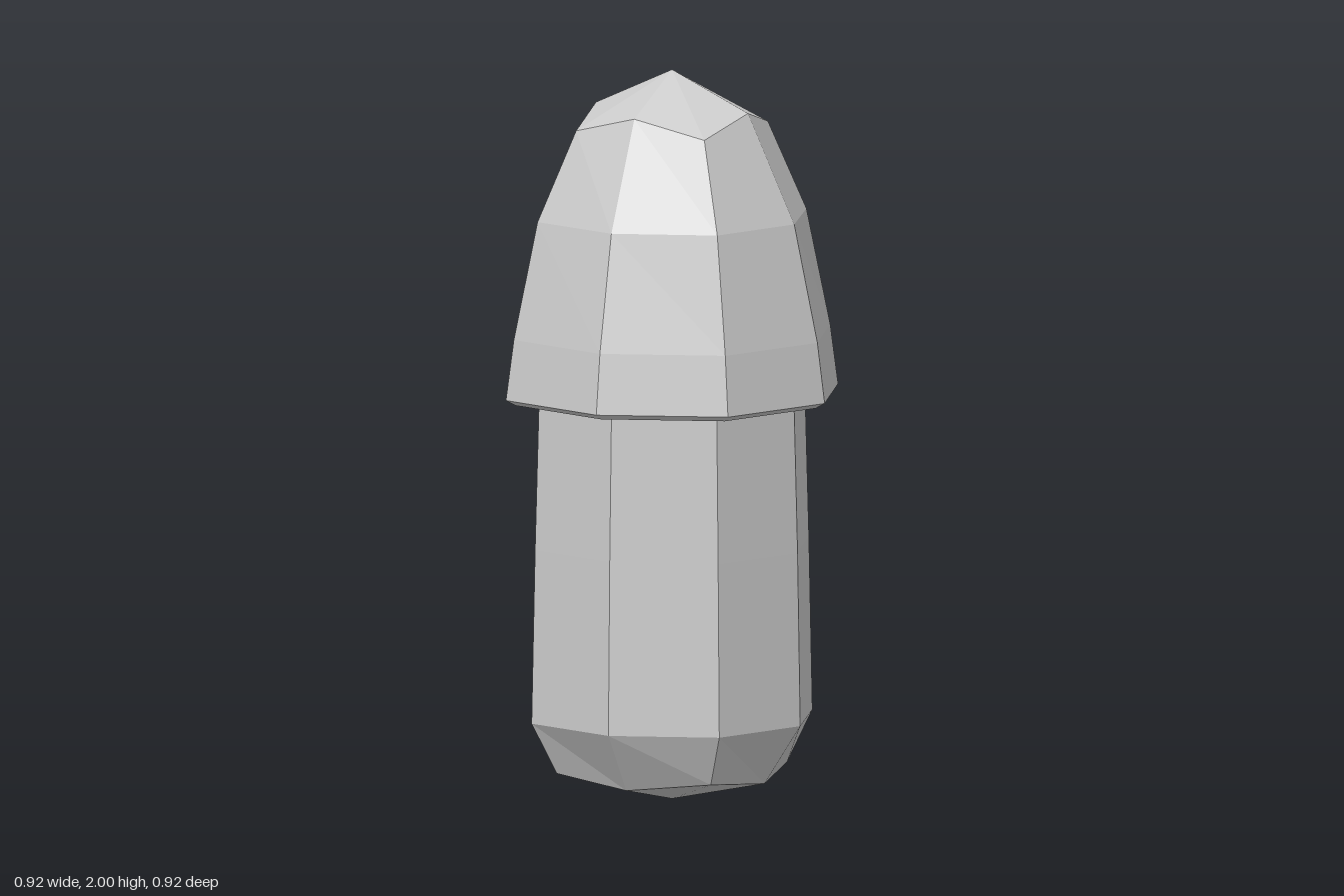
import * as THREE from 'three';

// Eight-sided loft, listed from top to bottom.
// Each ring: [axis radius, axis y, diagonal x/z offset, diagonal y]
function loft(name, rings, material) {
  const point = ([r, y, d, dy], i) => {
    const a = (i * Math.PI) / 4;
    const diagonal = i % 2 === 1;
    const radius = diagonal ? d * Math.SQRT2 : r;
    return [Math.sin(a) * radius, diagonal ? dy : y, Math.cos(a) * radius];
  };
  const positions = [];
  for (let k = 0; k < rings.length - 1; k++) {
    const up = rings[k], low = rings[k + 1];
    for (let i = 0; i < 8; i++) {
      const a = point(up, i), b = point(up, i + 1);
      const c = point(low, i), d = point(low, i + 1);
      if (low[0] > 0) positions.push(...a, ...c, ...d);
      if (up[0] > 0) positions.push(...a, ...d, ...b);
    }
  }
  const geometry = new THREE.BufferGeometry();
  geometry.setAttribute('position', new THREE.Float32BufferAttribute(positions, 3));
  geometry.computeVertexNormals();
  const mesh = new THREE.Mesh(geometry, material);
  mesh.name = name;
  return mesh;
}

export function createModel() {
  const group = new THREE.Group();
  group.name = 'mushroom';
  const material = new THREE.MeshStandardMaterial({ color: 0xcccccc, flatShading: true });

  // Tall domed cap with a thin rolled rim and a hollow underside
  group.add(loft('cap', [
    [0, 2, 0, 2],
    [0.23, 1.895, 0.194, 1.845],
    [0.37, 1.6, 0.272, 1.6],
    [0.44, 1.28, 0.32, 1.28],
    [0.462, 1.115, 0.336, 1.115],
    [0.435, 1.1, 0.317, 1.1],
    [0.368, 1.16, 0.268, 1.16],
  ], material));

  // Slightly tapered stem with a rounded foot
  group.add(loft('stem', [
    [0.368, 1.16, 0.268, 1.16],
    [0.38, 0.7, 0.277, 0.7],
    [0.388, 0.225, 0.284, 0.225],
    [0.28, 0.06, 0.233, 0.085],
    [0, 0, 0, 0],
  ], material));

  return group;
}
